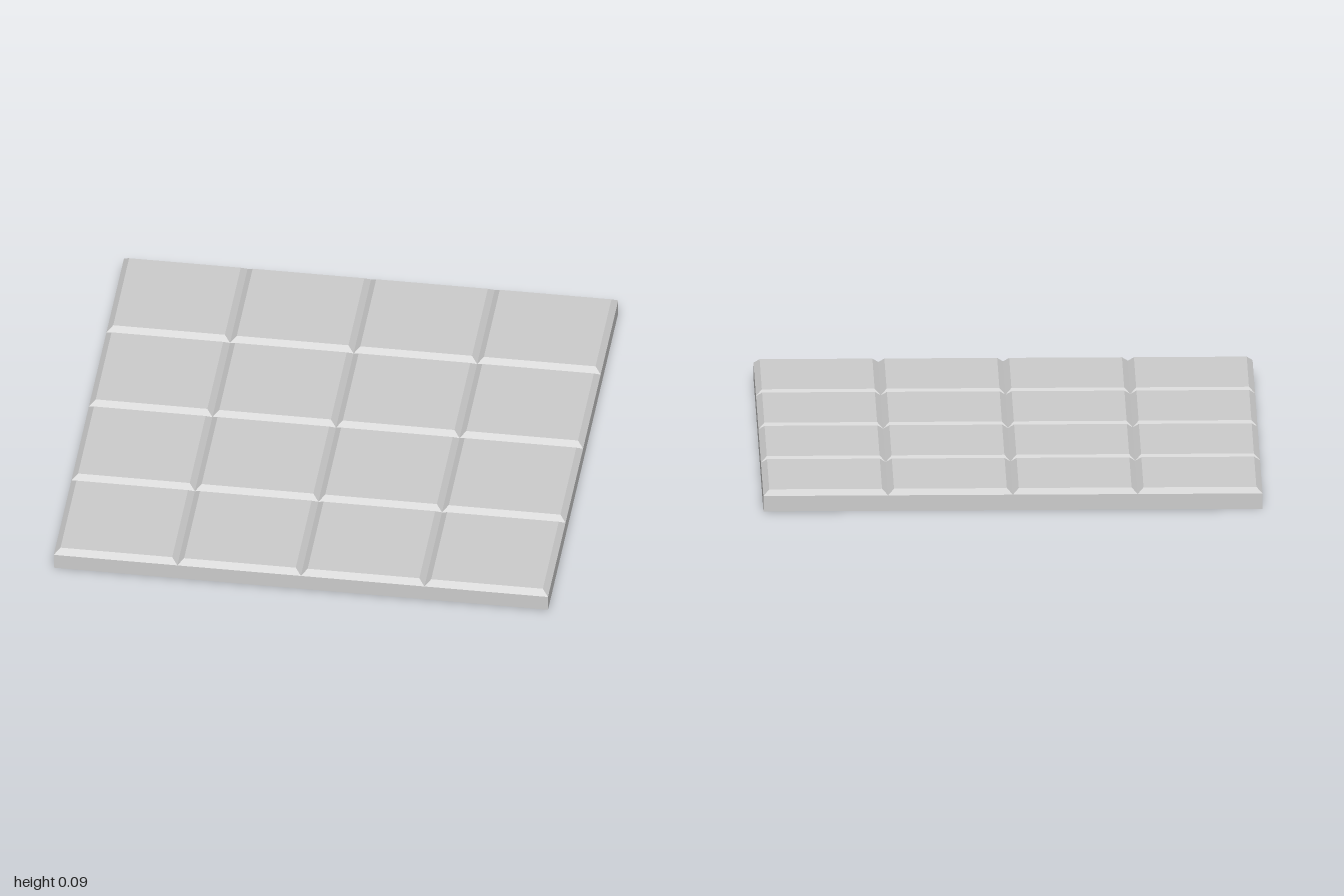
import * as THREE from 'three';

const COUNT = 4;            // tiles per side
const TILE = 2 / COUNT;     // tile width
const EDGE = 0.064;         // height of the outer walls and groove bottoms
const TOP = 0.085;          // height of the tile faces
const BEVEL = 0.024;        // inset of the tile faces

// Open square frustum with its sides along x and z
function squareBand(topWidth, bottomWidth, y0, y1) {
  const r = Math.SQRT1_2;
  const geometry = new THREE.CylinderGeometry(topWidth * r, bottomWidth * r, y1 - y0, 4, 1, true, Math.PI / 4);
  return geometry.translate(0, (y0 + y1) / 2, 0);
}

export function createModel() {
  const model = new THREE.Group();
  model.name = 'tiledFloorPanel';
  const material = new THREE.MeshStandardMaterial({
    color: 0xcccccc, flatShading: true, side: THREE.DoubleSide,
  });

  const add = (parent, name, geometry) => {
    const mesh = new THREE.Mesh(geometry, material);
    mesh.name = name;
    parent.add(mesh);
  };

  // Outer walls, hollow and open underneath
  add(model, 'outerWalls', squareBand(2, 2, 0, EDGE));

  // Bevelled tiles
  const faceWidth = TILE - 2 * BEVEL;
  const bevel = squareBand(faceWidth, TILE, EDGE, TOP);
  const face = new THREE.PlaneGeometry(faceWidth, faceWidth).rotateX(-Math.PI / 2).translate(0, TOP, 0);
  for (let row = 0; row < COUNT; row++) {
    for (let col = 0; col < COUNT; col++) {
      const tile = new THREE.Group();
      tile.name = `tile_${row + 1}_${col + 1}`;
      tile.position.set((col + 0.5) * TILE - 1, 0, (row + 0.5) * TILE - 1);
      add(tile, 'tileBevel', bevel);
      add(tile, 'tileFace', face);
      model.add(tile);
    }
  }
  return model;
}
